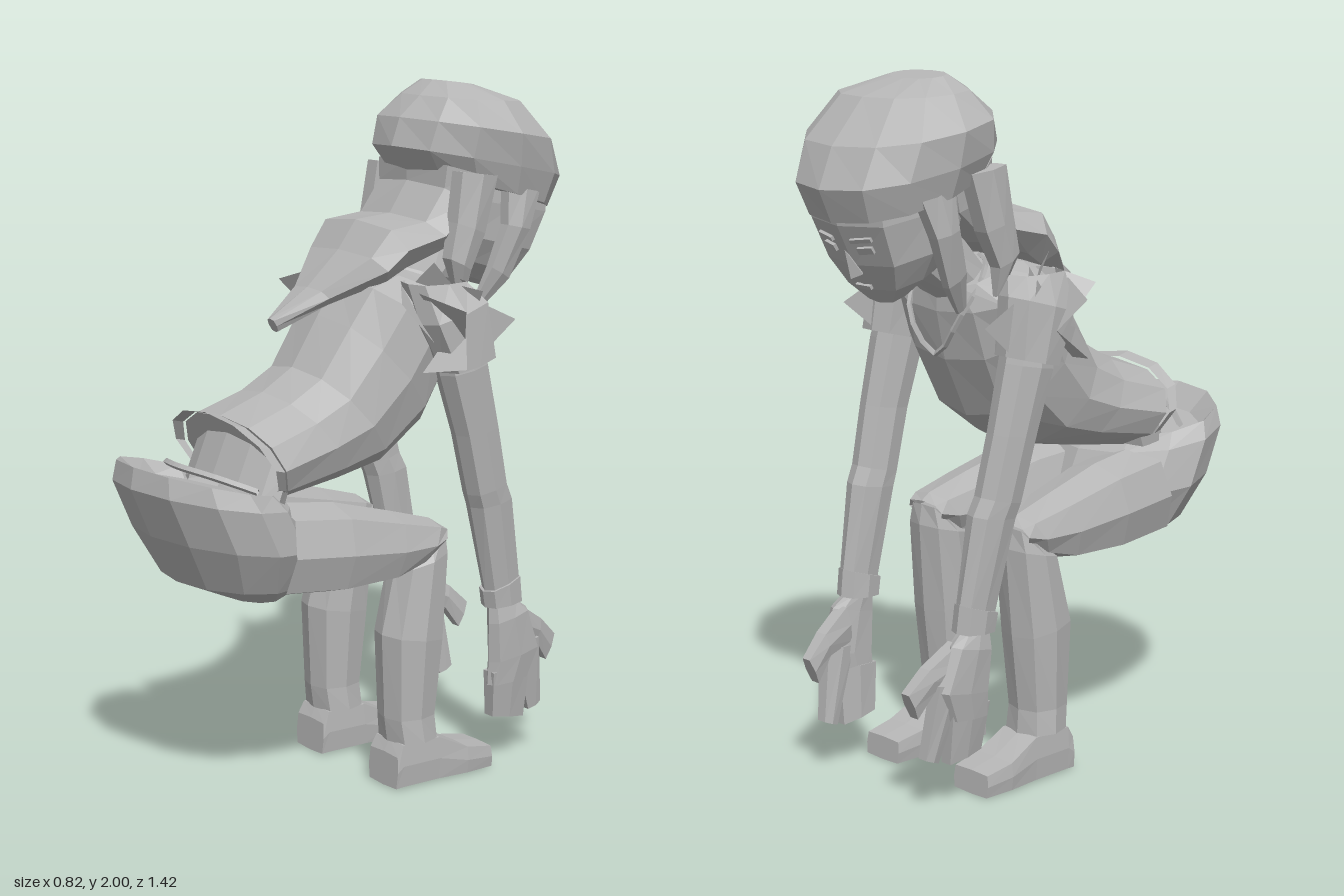
import * as THREE from 'three';

const grey = new THREE.MeshStandardMaterial({ color: 0xb6b6b6, flatShading: true, side: THREE.DoubleSide });
grey.name = 'plain grey';

// Lofted body part. Each ring is [x, y1, z1, y2, z2, halfWidth]: two opposite points in the side plane plus a width.
function loft(name, rings, sides = 8, power = 0.75, caps = true) {
  const pos = [], idx = [];
  const bend = (v) => Math.sign(v) * Math.pow(Math.abs(v), power);
  for (const [x, y1, z1, y2, z2, w] of rings) {
    for (let i = 0; i < sides; i++) {
      const t = (i / sides) * Math.PI * 2;
      const c = bend(Math.round(Math.cos(t) * 1e6) / 1e6), s = bend(Math.round(Math.sin(t) * 1e6) / 1e6);
      pos.push(x + w * c, (y1 + y2) / 2 + (s * (y1 - y2)) / 2, (z1 + z2) / 2 + (s * (z1 - z2)) / 2);
    }
  }
  for (let r = 0; r < rings.length - 1; r++) {
    for (let i = 0; i < sides; i++) {
      const a = r * sides + i, b = r * sides + ((i + 1) % sides);
      idx.push(a, b, b + sides, a, b + sides, a + sides);
    }
  }
  if (caps) {
    const last = (rings.length - 1) * sides;
    for (let i = 1; i < sides - 1; i++) idx.push(0, i + 1, i, last, last + i, last + i + 1);
  }
  // Turn the faces outward by checking the enclosed volume
  let volume = 0;
  const p = (i) => new THREE.Vector3(pos[i * 3], pos[i * 3 + 1], pos[i * 3 + 2]);
  for (let i = 0; i < idx.length; i += 3) volume += p(idx[i]).dot(p(idx[i + 1]).cross(p(idx[i + 2])));
  if (volume < 0) idx.reverse();
  const g = new THREE.BufferGeometry();
  g.setAttribute('position', new THREE.Float32BufferAttribute(pos, 3));
  g.setIndex(idx);
  g.computeVertexNormals();
  return named(name, g);
}

function named(name, geometry) {
  const m = new THREE.Mesh(geometry, grey);
  m.name = name;
  return m;
}

// Thin triangular flap of cloth, mirrored by s
function flap(s, a, b, tip) {
  const g = new THREE.BufferGeometry();
  const pos = [a, b, tip].flatMap(([x, y, z]) => [s * x, y, z]);
  g.setAttribute('position', new THREE.Float32BufferAttribute(pos, 3));
  g.computeVertexNormals();
  return named('sleeveFlap', g);
}

function tube(name, points, radius, closed = false) {
  const curve = new THREE.CatmullRomCurve3(points.map((q) => new THREE.Vector3(...q)), closed);
  return named(name, new THREE.TubeGeometry(curve, 16, radius, 4, closed));
}

// Arm, hand, leg, foot and hair strands of one side (s = 1 or -1)
function side(s) {
  const g = new THREE.Group();
  g.name = s > 0 ? 'leftSide' : 'rightSide';
  const X = (rings) => rings.map(([x, ...rest]) => [s * x, ...rest]);
  g.add(
    loft('thigh', X([
      [0.15, 0.88, 0.34, 0.62, 0.38, 0.135], [0.165, 0.86, 0.16, 0.605, 0.18, 0.13],
      [0.175, 0.81, -0.03, 0.615, 0.0, 0.11], [0.18, 0.77, -0.17, 0.65, -0.1, 0.09],
      [0.18, 0.75, -0.2, 0.69, -0.17, 0.07]]), 8, 0.75, false),
    loft('shin', X([
      [0.18, 0.74, -0.2, 0.7, -0.14, 0.06], [0.18, 0.68, -0.21, 0.64, -0.05, 0.08],
      [0.185, 0.42, -0.19, 0.45, 0.0, 0.085], [0.185, 0.2, -0.165, 0.2, -0.01, 0.075],
      [0.185, 0.13, -0.17, 0.13, -0.02, 0.082]])),
    loft('foot', X([
      [0.185, 0.1, -0.01, 0.0, -0.005, 0.07], [0.185, 0.135, -0.03, 0.0, -0.03, 0.07],
      [0.185, 0.135, -0.16, 0.0, -0.16, 0.072], [0.188, 0.085, -0.26, 0.0, -0.26, 0.075],
      [0.188, 0.068, -0.35, 0.0, -0.355, 0.07]]), 8, 0.2),
    loft('arm', X([
      [0.25, 1.42, -0.1, 1.42, -0.24, 0.05], [0.265, 1.2, -0.14, 1.23, -0.29, 0.062],
      [0.264, 1.02, -0.2, 1.04, -0.335, 0.056], [0.256, 0.84, -0.25, 0.87, -0.375, 0.054],
      [0.252, 0.8, -0.265, 0.82, -0.4, 0.053], [0.245, 0.53, -0.33, 0.57, -0.445, 0.038]]), 8, 0.75, false),
    loft('cuff', X([[0.245, 0.54, -0.32, 0.58, -0.445, 0.046], [0.243, 0.49, -0.33, 0.5, -0.455, 0.046]])),
    // Hand with its fingers bent inward
    loft('palm', X([
      [0.245, 0.5, -0.345, 0.5, -0.44, 0.03], [0.25, 0.44, -0.34, 0.47, -0.48, 0.036],
      [0.245, 0.32, -0.345, 0.35, -0.53, 0.037], [0.24, 0.25, -0.345, 0.26, -0.49, 0.033]])),
    loft('outerFingers', X([[0.24, 0.29, -0.345, 0.3, -0.49, 0.034], [0.225, 0.15, -0.36, 0.13, -0.485, 0.026]]), 6, 0.5),
    loft('indexFinger', X([[0.235, 0.36, -0.43, 0.37, -0.53, 0.03], [0.215, 0.14, -0.51, 0.16, -0.56, 0.022]]), 6, 0.5),
    loft('thumb', X([
      [0.235, 0.37, -0.44, 0.48, -0.46, 0.03], [0.22, 0.35, -0.53, 0.42, -0.55, 0.028],
      [0.21, 0.28, -0.58, 0.36, -0.615, 0.022]]), 6, 0.5),
    loft('sleeve', X([
      [0.22, 1.46, -0.06, 1.46, -0.24, 0.07], [0.265, 1.35, -0.07, 1.41, -0.28, 0.075],
      [0.275, 1.21, -0.14, 1.25, -0.3, 0.072]]), 8, 0.6, false),
    // Torn points around the sleeve
    flap(s, [0.27, 1.44, -0.06], [0.3, 1.26, -0.2], [0.405, 1.4, -0.12]),
    flap(s, [0.28, 1.38, -0.22], [0.29, 1.22, -0.06], [0.41, 1.24, -0.12]),
    flap(s, [0.2, 1.46, -0.05], [0.29, 1.3, -0.1], [0.3, 1.42, 0.02]),
    flap(s, [0.28, 1.42, -0.22], [0.28, 1.25, -0.28], [0.29, 1.34, -0.39]),
    flap(s, [0.2, 1.47, -0.14], [0.3, 1.38, -0.24], [0.34, 1.44, -0.23]),
    flap(s, [0.2, 1.46, -0.1], [0.28, 1.42, -0.2], [0.26, 1.52, -0.12]),
    loft('backHairStrand', X([
      [0.2, 1.76, -0.24, 1.74, -0.38, 0.04], [0.205, 1.62, -0.22, 1.58, -0.33, 0.042],
      [0.21, 1.52, -0.2, 1.48, -0.28, 0.034], [0.2, 1.42, -0.24, 1.4, -0.27, 0.012]]), 6),
    loft('sideHairStrand', X([
      [0.19, 1.74, -0.42, 1.72, -0.56, 0.03], [0.205, 1.6, -0.41, 1.58, -0.5, 0.03],
      [0.19, 1.48, -0.37, 1.44, -0.44, 0.022], [0.16, 1.38, -0.34, 1.36, -0.37, 0.01]]), 6));
  return g;
}

// Nose, eyes, brows and mouth on the sloping face
function faceDetails() {
  const g = new THREE.Group();
  g.name = 'faceDetails';
  g.position.set(0, 1.515, -0.598);
  g.rotation.x = -0.55;
  const plate = (name, x, y, z, w, h, ry) => {
    const m = named(name, new THREE.BoxGeometry(w, h, 0.009));
    m.position.set(x, y, z);
    m.rotation.y = ry;
    g.add(m);
  };
  for (const s of [-1, 1]) {
    plate('eye', 0.07 * s, 0.035, 0.006, 0.05, 0.02, -0.24 * s);
    plate('brow', 0.07 * s, 0.068, 0.006, 0.07, 0.012, -0.24 * s);
  }
  plate('mouth', 0, -0.085, -0.006, 0.06, 0.012, 0);
  const nose = named('nose', new THREE.ConeGeometry(0.025, 0.08, 4));
  nose.position.set(0, 0, -0.008);
  g.add(nose);
  return g;
}

export function createModel() {
  const model = new THREE.Group();
  model.name = 'crouchingFigure';
  model.add(
    // Clothing and trunk
    loft('trouserSeat', [
      [0, 0.94, 0.63, 0.87, 0.33, 0.25], [0, 1.0, 0.7, 0.9, 0.31, 0.275], [0, 0.94, 0.71, 0.86, 0.26, 0.3],
      [0, 0.8, 0.65, 0.74, 0.2, 0.3], [0, 0.66, 0.57, 0.64, 0.22, 0.24], [0, 0.59, 0.41, 0.6, 0.26, 0.14]], 12, 1),
    loft('undershirt', [[0, 1.08, 0.39, 0.87, 0.3, 0.22], [0, 0.94, 0.45, 0.8, 0.32, 0.22]], 12, 1, false),
    loft('shirt', [
      [0, 1.11, 0.42, 0.87, 0.32, 0.25], [0, 1.16, 0.28, 0.9, 0.1, 0.235], [0, 1.22, 0.18, 0.93, -0.05, 0.235],
      [0, 1.36, 0.09, 1.03, -0.19, 0.25], [0, 1.46, 0.02, 1.2, -0.27, 0.27], [0, 1.48, -0.08, 1.34, -0.3, 0.25],
      [0, 1.48, -0.15, 1.41, -0.3, 0.14]], 12, 0.92),
    loft('shirtHem', [[0, 1.125, 0.47, 0.87, 0.345, 0.255], [0, 1.115, 0.43, 0.865, 0.325, 0.255]], 12, 1, false),
    loft('neck', [[0, 1.44, -0.15, 1.37, -0.29, 0.1], [0, 1.62, -0.3, 1.48, -0.44, 0.09]], 8, 0.75, false),
    tube('necklace', [[0, 1.48, -0.14], [0.12, 1.44, -0.24], [0.1, 1.33, -0.31], [0, 1.22, -0.305],
      [-0.1, 1.33, -0.31], [-0.12, 1.44, -0.24]], 0.008, true),
    // Head
    loft('face', [
      [0, 1.78, -0.28, 1.68, -0.66, 0.18], [0, 1.68, -0.29, 1.61, -0.65, 0.18], [0, 1.57, -0.32, 1.5, -0.595, 0.165],
      [0, 1.49, -0.36, 1.43, -0.55, 0.12], [0, 1.43, -0.42, 1.39, -0.51, 0.06]], 8, 0.6),
    faceDetails(),
    loft('hairBack', [
      [0, 1.78, -0.22, 1.72, -0.4, 0.21], [0, 1.72, -0.22, 1.62, -0.37, 0.2], [0, 1.63, -0.16, 1.53, -0.26, 0.2],
      [0, 1.62, -0.04, 1.48, -0.11, 0.205], [0, 1.54, 0.02, 1.45, -0.05, 0.19], [-0.01, 1.44, 0.12, 1.39, 0.09, 0.085],
      [-0.02, 1.36, 0.24, 1.32, 0.22, 0.02]], 8),
    loft('cap', [
      [0, 1.75, -0.22, 1.62, -0.67, 0.225], [0, 1.82, -0.165, 1.71, -0.71, 0.25], [0.005, 1.9, -0.19, 1.82, -0.66, 0.265],
      [0.02, 1.96, -0.25, 1.94, -0.54, 0.2], [-0.01, 2.0, -0.32, 1.985, -0.42, 0.1]], 12, 0.88));
  // Loose belt lying inside the waistband
  model.add(tube('belt', [[-0.23, 0.94, 0.45], [-0.12, 0.97, 0.52], [0, 0.98, 0.55], [0.12, 0.97, 0.52], [0.23, 0.94, 0.45]], 0.01));
  for (const s of [1, -1]) model.add(side(s));
  return model;
}
